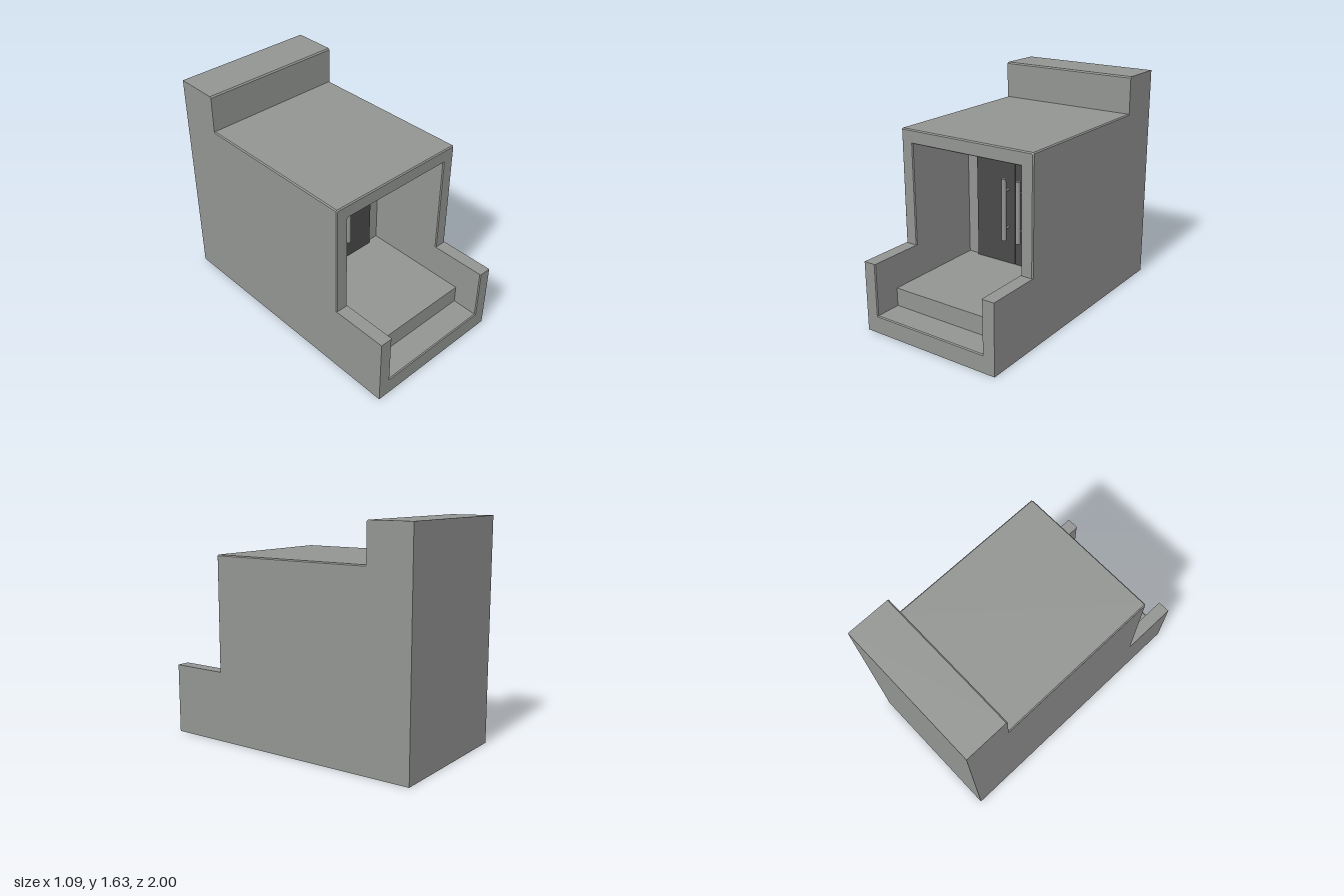
import * as THREE from 'three';

const concrete = new THREE.MeshStandardMaterial({ color: 0x929492, side: THREE.DoubleSide });
concrete.name = 'concrete grey';
const darkMetal = new THREE.MeshStandardMaterial({ color: 0x4a4a4a });
darkMetal.name = 'door dark grey';
const handleMetal = new THREE.MeshStandardMaterial({ color: 0x929492 });
handleMetal.name = 'handle grey';

const W = 0.545, IN = 0.45;            // outer and inner half widths
const WALL = 0.515, ROOF = 1.36;       // low wall top and roof height
const FACE = 0.58, DOOR_Z = -0.03;     // facade and door wall depth

// Skin joining a row of cross-sections with equal point counts, flat shaded
function loft(name, sections) {
  const pos = [];
  for (let i = 0; i < sections.length - 1; i++) {
    const a = sections[i], b = sections[i + 1];
    for (let j = 0; j < a.length - 1; j++) {
      pos.push(...a[j], ...a[j + 1], ...b[j + 1], ...a[j], ...b[j + 1], ...b[j]);
    }
  }
  const geo = new THREE.BufferGeometry();
  geo.setAttribute('position', new THREE.Float32BufferAttribute(pos, 3));
  geo.computeVertexNormals();
  return named(name, geo, concrete);
}

function named(name, geo, mat, x = 0, y = 0, z = 0) {
  const m = new THREE.Mesh(geo, mat);
  m.name = name;
  m.position.set(x, y, z);
  return m;
}

// Arch section with chamfered top corners
const arch = (w, t, z, c) => [
  [-w, WALL, z], [-w, t - c, z], [-w + c, t, z],
  [w - c, t, z], [w, t - c, z], [w, WALL, z],
];
// U section for the lower trough
const trough = (w, f, z) => [[-w, WALL, z], [-w, f, z], [w, f, z], [w, WALL, z]];

export function createModel() {
  const group = new THREE.Group();
  group.name = 'entranceBuilding';

  // Upper passage, facade and roof in one skin
  group.add(loft('upperBody', [
    arch(IN, 1.26, DOOR_Z, 0.001), arch(IN, 1.26, FACE - 0.008, 0.001),
    arch(IN + 0.006, 1.266, FACE, 0.001), arch(W - 0.008, ROOF - 0.008, FACE, 0.004),
    arch(W, ROOF, FACE - 0.008, 0.008), arch(W, ROOF, -0.67, 0.008),
  ]));

  // Front low wall, step and landing
  group.add(loft('stepsAndLowWall', [
    trough(W, 0, 1), trough(IN + 0.006, 0.124, 1), trough(IN, 0.13, 0.992),
    trough(IN, 0.13, 0.8), trough(IN, 0.265, 0.8), trough(IN, 0.265, DOOR_Z),
  ]));

  // Rear parapet block, with a chamfered front edge
  const rear = [[-0.67, ROOF - 0.01], [-0.67, 1.625], [-0.68, 1.635], [-1, 1.635], [-1, 0]];
  group.add(loft('rearBlock', [-W, W].map(x => rear.map(([z, y]) => [x, y, z]))));

  // Side walls: lower part plus rear rise
  const side = new THREE.Shape([
    [1, 0], [1, WALL], [-0.67, WALL], [-0.67, 1.625], [-0.68, 1.635], [-1, 1.635], [-1, 0],
  ].map(p => new THREE.Vector2(...p)));
  for (const s of [-1, 1]) {
    const label = s > 0 ? 'left' : 'right';
    const geo = new THREE.ShapeGeometry(side).rotateY(-Math.PI / 2);
    group.add(named(label + 'SideWall', geo, concrete, s * W));

    // Flat top of the low wall
    const cap = new THREE.PlaneGeometry(W - IN, 1 - FACE + 0.008).rotateX(-Math.PI / 2);
    group.add(named(label + 'LowWallTop', cap, concrete, s * (W + IN) / 2, WALL, (1 + FACE - 0.008) / 2));

    // Door leaf with its bar handle
    const door = new THREE.Group();
    door.name = label + 'Door';
    door.add(named('doorLeaf', new THREE.BoxGeometry(0.341, 0.892, 0.354), darkMetal, s * 0.1745, 0.716, -0.177));
    door.add(named('handleBar', new THREE.CylinderGeometry(0.018, 0.018, 0.475, 24), handleMetal, s * 0.062, 0.708, 0.056));
    for (const y of [0.557, 0.85]) {
      const mount = new THREE.CylinderGeometry(0.009, 0.009, 0.06, 16).rotateX(Math.PI / 2);
      door.add(named('handleMount', mount, handleMetal, s * 0.062, y, 0.027));
    }
    group.add(door);
  }

  // Wall around the doors and filler behind the gap between them
  group.add(named('doorWall', new THREE.PlaneGeometry(2 * IN, 0.995), concrete, 0, 0.7625, DOOR_Z));
  group.add(named('doorCore', new THREE.BoxGeometry(0.02, 0.885, 0.34), darkMetal, 0, 0.716, -0.178));

  return group;
}
